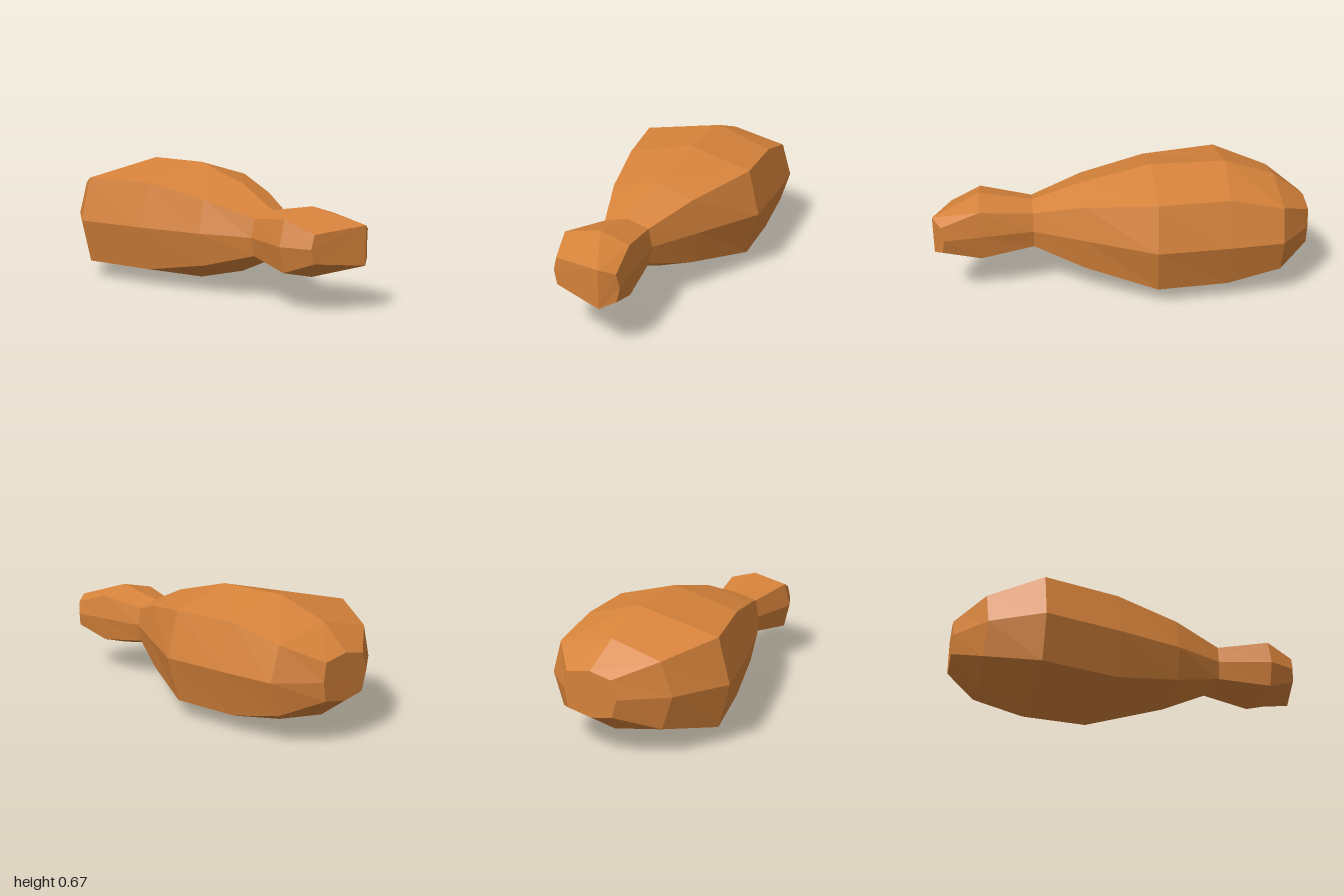
import * as THREE from 'three';

const MID = 0.337; // height of the mirror plane
// Half heights and [x, z] of each cross-section, from the -x side over the top to the +x side
const ring = (upper, top, pts) => {
  const h = [0, upper, top, upper, 0];
  const half = pts.map(([x, z], i) => [x, MID + h[i], z]);
  const under = half.slice(1, 4).reverse().map(([x, y, z]) => [x, 2 * MID - y, z]);
  return [...half, ...under];
};

const tip = ring(0.073, 0.102, [[0.1, 0.97], [0.12, 0.97], [0.41, 0.997], [0.47, 0.935], [0.48, 0.92]]);
const knob = ring(0.135, 0.182, [[0.01, 0.83], [0.04, 0.82], [0.24, 0.78], [0.395, 0.745], [0.415, 0.74]]);
const neck = ring(0.098, 0.132, [[0.03, 0.53], [0.05, 0.53], [0.18, 0.5], [0.295, 0.475], [0.315, 0.47]]);
const shank = ring(0.178, 0.243, [[-0.145, 0.285], [-0.105, 0.275], [0.17, 0.22], [0.36, 0.19], [0.397, 0.18]]);
const bellyFront = ring(0.243, 0.336, [[-0.325, -0.05], [-0.265, -0.065], [0.11, -0.14], [0.445, -0.215], [0.51, -0.22]]);
const bellyBack = ring(0.243, 0.336, [[-0.51, -0.445], [-0.45, -0.46], [0.015, -0.535], [0.335, -0.58], [0.405, -0.59]]);
const shoulder = ring(0.178, 0.243, [[-0.395, -0.75], [-0.34, -0.77], [-0.05, -0.805], [0.26, -0.86], [0.315, -0.87]]);
const end = ring(0.098, 0.123, [[-0.21, -0.95], [-0.18, -0.955], [-0.06, -0.975], [0.08, -0.998], [0.095, -1]]);

// Skin consecutive rings with faceted quads, plus flat polygon caps
function loft(rings, caps) {
  const pos = [];
  const polygon = (p) => {
    for (let i = 1; i < p.length - 1; i++) pos.push(...p[0], ...p[i], ...p[i + 1]);
  };
  for (let r = 0; r < rings.length - 1; r++) {
    const a = rings[r], b = rings[r + 1];
    for (let i = 0; i < 8; i++) {
      const j = (i + 1) % 8;
      polygon([a[i], a[j], b[j], b[i]]);
    }
  }
  caps.forEach(polygon);
  const geometry = new THREE.BufferGeometry();
  geometry.setAttribute('position', new THREE.Float32BufferAttribute(pos, 3));
  geometry.computeVertexNormals();
  return geometry;
}

export function createModel() {
  const model = new THREE.Group();
  model.name = 'drumstick';
  const roast = new THREE.MeshStandardMaterial({ color: 0xd5823a, flatShading: true });
  roast.name = 'roast orange';

  const add = (name, geometry) => {
    const mesh = new THREE.Mesh(geometry, roast);
    mesh.name = name;
    model.add(mesh);
  };

  // Knuckle: its tip is folded along the line from top to bottom
  const pick = (...ids) => ids.map((i) => tip[i]);
  add('knuckle', loft([tip, knob, neck], [pick(2, 1, 0, 7, 6), pick(6, 5, 4, 3, 2)]));

  // Meat: swells from the neck and closes at the back
  add('meat', loft([neck, shank, bellyFront, bellyBack, shoulder, end], [end]));
  return model;
}
